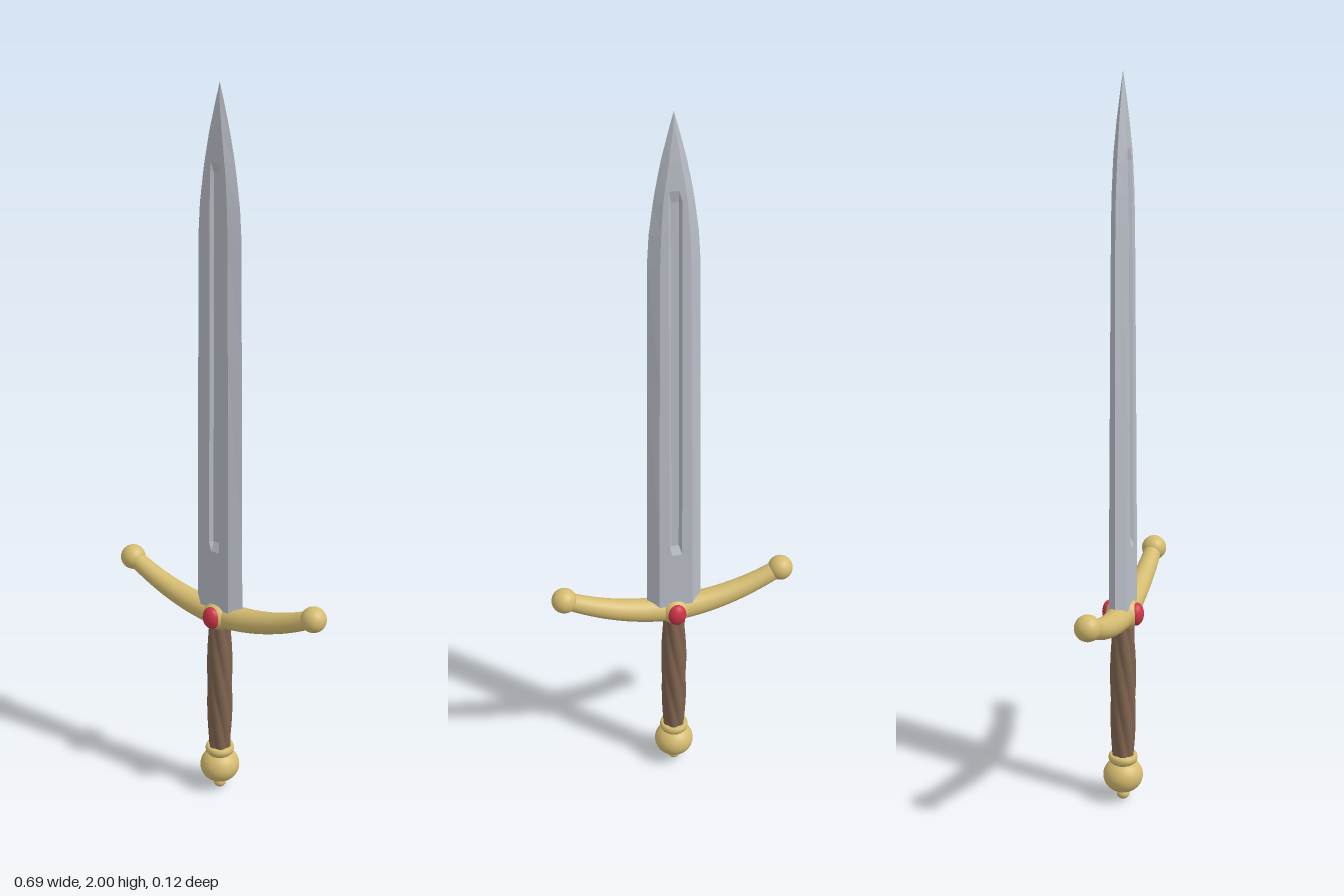
import * as THREE from 'three';

const mat = (name, color) => Object.assign(new THREE.MeshStandardMaterial({ color }), { name });

// Skins a list of closed rings (equal point counts) and caps both ends.
function loft(rings, flat) {
  const n = rings[0].length, last = rings.length - 1;
  const pts = rings.flat(), index = [];
  for (let i = 0; i < last; i++) {
    for (let j = 0; j < n; j++) {
      const a = i * n + j, b = i * n + (j + 1) % n;
      index.push(a, b, a + n, b, b + n, a + n);
    }
  }
  for (const i of [0, last]) {
    const centre = new THREE.Vector3();
    rings[i].forEach(p => centre.addScaledVector(p, 1 / n));
    const c = pts.push(centre) - 1;
    for (let j = 0; j < n; j++) {
      const a = i * n + j, b = i * n + (j + 1) % n;
      if (i === 0) index.push(c, b, a); else index.push(c, a, b);
    }
  }
  let geo = new THREE.BufferGeometry().setFromPoints(pts);
  geo.setIndex(index);
  if (flat) geo = geo.toNonIndexed();
  geo.computeVertexNormals();
  return geo;
}

// Hexagonal blade with a sunken fuller on both faces.
function bladeGeometry() {
  // height, half width, half flat, half thickness, fuller depth
  const rows = [
    [0.56, 0.077, 0.047, 0.026, 0], [0.76, 0.075, 0.046, 0.025, 0],
    [0.785, 0.075, 0.046, 0.025, 0.011], [1.3, 0.07, 0.042, 0.022, 0.01],
    [1.62, 0.067, 0.039, 0.02, 0.009], [1.7, 0.062, 0.036, 0.019, 0.009],
    [1.78, 0.051, 0.03, 0.017, 0.007], [1.81, 0.046, 0.026, 0.016, 0],
    [1.88, 0.032, 0.015, 0.012, 0], [1.95, 0.014, 0.004, 0.006, 0], [2, 0, 0, 0, 0],
  ];
  return loft(rows.map(([y, w, b, t, d]) => {
    const g = Math.min(0.017, b * 0.6);
    const half = [[w, 0], [b, t], [g, t], [g * 0.6, t - d], [-g * 0.6, t - d], [-g, t], [-b, t]];
    return [...half.map(([x, z]) => new THREE.Vector3(x, y, -z)),
      ...half.map(([x, z]) => new THREE.Vector3(-x, y, z))];
  }), true);
}

// Grip with six twisted lobes, slightly swollen in the middle.
function gripGeometry() {
  const rings = [], y0 = 0.13, y1 = 0.54;
  for (let i = 0; i <= 28; i++) {
    const v = i / 28, y = y0 + (y1 - y0) * v, ring = [];
    const R = 0.031 + 0.005 * Math.sin(Math.PI * v);
    for (let j = 0; j < 48; j++) {
      const a = j / 48 * Math.PI * 2;
      const r = R * (0.88 + 0.13 * Math.abs(Math.cos(3 * (a - 2.4 * (1 - v)))));
      ring.push(new THREE.Vector3(r * Math.cos(a), y, -r * Math.sin(a)));
    }
    rings.push(ring);
  }
  return loft(rings, false);
}

// Curved crossguard, thickest at the middle.
function guardGeometry() {
  const rings = [];
  for (let i = 0; i <= 32; i++) {
    const u = i / 16 - 1, x = 0.305 * u, y = 0.563 + 0.082 * u * u;
    const normal = new THREE.Vector2(-0.164 * u, 0.305).normalize();
    const r = 0.037 - 0.013 * Math.abs(u), ring = [];
    for (let j = 0; j < 24; j++) {
      const a = j / 24 * Math.PI * 2, k = r * Math.cos(a);
      ring.push(new THREE.Vector3(x + normal.x * k, y + normal.y * k, r * Math.sin(a)));
    }
    rings.push(ring);
  }
  return loft(rings, false);
}

export function createModel() {
  const group = new THREE.Group();
  group.name = 'sword';
  const steel = mat('steel', 0xb9bdc6), gold = mat('gold', 0xd4bb70);
  const leather = mat('brown leather', 0x80644f), red = mat('red gem', 0xcc3548);

  const add = (name, geo, material, x = 0, y = 0, z = 0) => {
    const mesh = new THREE.Mesh(geo, material);
    mesh.name = name;
    mesh.position.set(x, y, z);
    group.add(mesh);
    return mesh;
  };
  const ball = (rx, ry, rz) => new THREE.SphereGeometry(1, 32, 20).scale(rx, ry, rz);

  add('blade', bladeGeometry(), steel);
  add('grip', gripGeometry(), leather);
  add('crossguard', guardGeometry(), gold);
  add('guardBoss', ball(0.043, 0.044, 0.052), gold, 0, 0.564);

  // Guard ends
  for (const [side, s] of [['left', 1], ['right', -1]]) {
    add(side + 'GuardBall', ball(0.035, 0.035, 0.035), gold, s * 0.308, 0.645);
  }
  // Gems on both faces
  for (const [side, s] of [['front', 1], ['back', -1]]) {
    add(side + 'Gem', ball(0.026, 0.032, 0.02), red, 0, 0.565, s * 0.038);
  }

  // Pommel
  add('pommel', ball(0.056, 0.05, 0.056), gold, 0, 0.075);
  add('pommelButton', ball(0.018, 0.016, 0.018), gold, 0, 0.016);
  const collar = [[0, 0.108], [0.033, 0.108], [0.034, 0.118], [0.039, 0.121], [0.041, 0.13],
    [0.039, 0.138], [0.034, 0.141], [0, 0.141]].map(p => new THREE.Vector2(...p));
  add('pommelCollar', new THREE.LatheGeometry(collar, 32), gold);
  return group;
}
